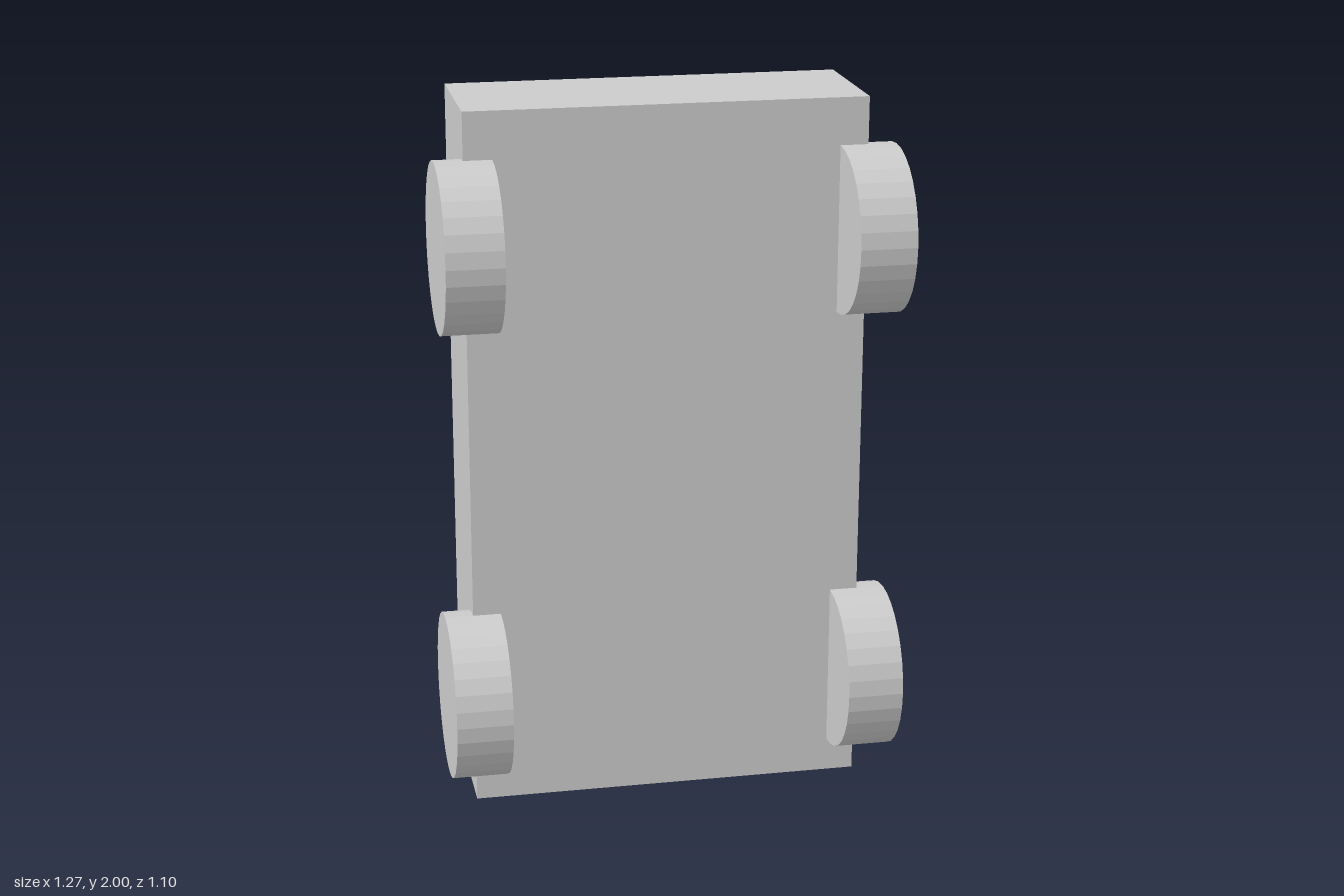
import * as THREE from 'three';

const material = new THREE.MeshStandardMaterial({ color: 0xcccccc, flatShading: true });

function addMesh(parent, name, geometry, x, y, z) {
  const mesh = new THREE.Mesh(geometry, material);
  mesh.name = name;
  mesh.position.set(x, y, z);
  parent.add(mesh);
  return mesh;
}

// Cabin: a box whose roof end (toward -z) is narrowed, with raked windscreen and rear
function cabinGeometry() {
  const base = { z: -0.078, halfWidth: 0.555, low: 0.31, high: 1.45 };
  const roof = { z: -0.55, halfWidth: 0.502, low: 0.37, high: 1.15 };
  const geometry = new THREE.BoxGeometry(2, 2, 2);
  const p = geometry.attributes.position;
  for (let i = 0; i < p.count; i++) {
    const end = p.getZ(i) < 0 ? roof : base;
    p.setXYZ(i, p.getX(i) * end.halfWidth, p.getY(i) > 0 ? end.high : end.low, end.z);
  }
  geometry.computeVertexNormals();
  return geometry;
}

export function createModel() {
  const car = new THREE.Group();
  car.name = 'car';

  // Lower body, standing on its rear end
  addMesh(car, 'body', new THREE.BoxGeometry(1.11, 2, 0.392), 0, 1, 0.118);
  addMesh(car, 'cabin', cabinGeometry(), 0, 0, 0);

  // Four wheels with axles along x
  const wheel = new THREE.CylinderGeometry(0.235, 0.235, 0.157, 32).rotateZ(Math.PI / 2);
  for (const [end, y] of [['rear', 0.333], ['front', 1.633]]) {
    for (const [side, sign] of [['Left', 1], ['Right', -1]]) {
      addMesh(car, `${end}${side}Wheel`, wheel, sign * 0.555, y, 0.315);
    }
  }
  return car;
}
